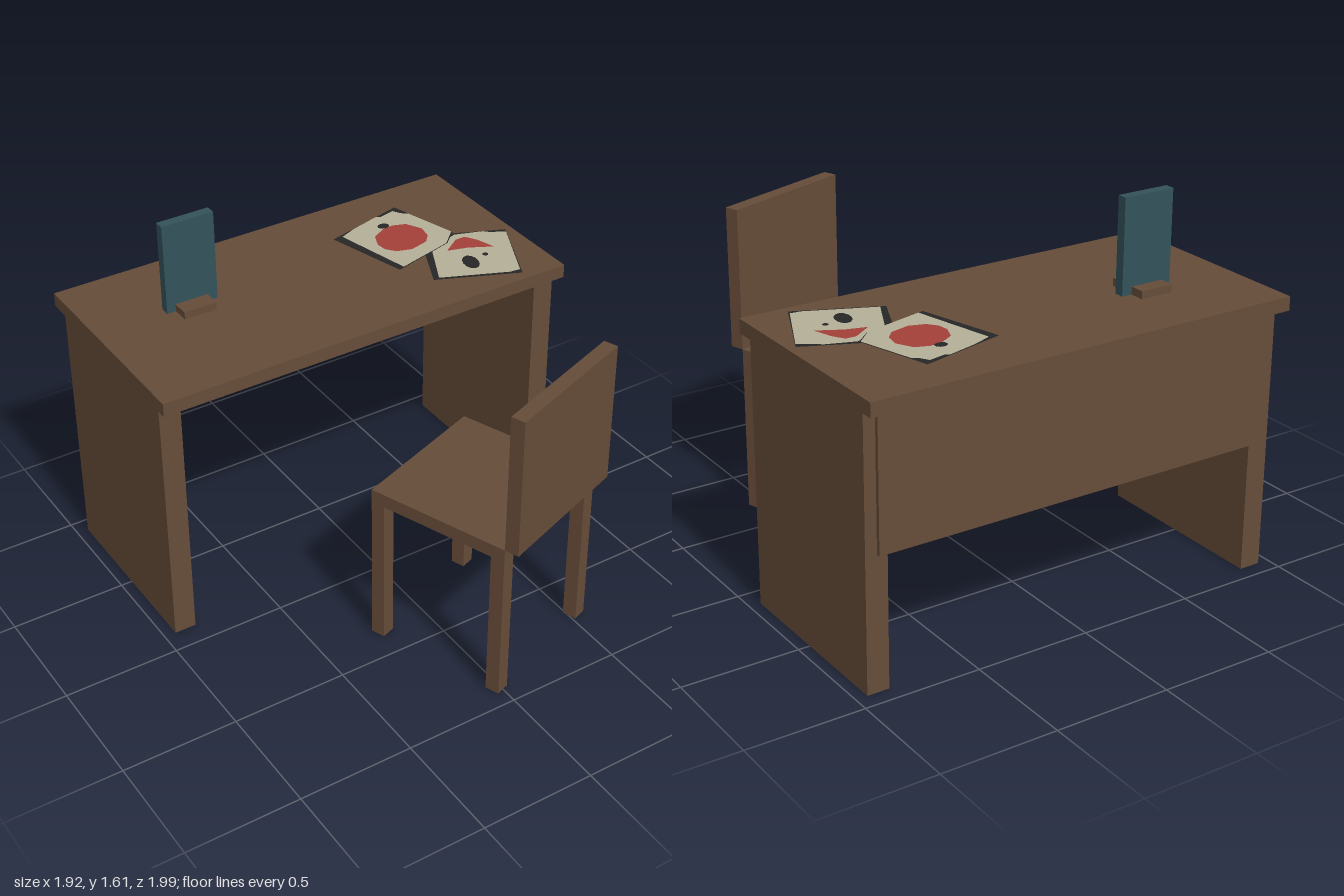
import * as THREE from 'three';

const material = (name, color) => new THREE.MeshStandardMaterial({ name, color });

export function createModel() {
  const wood = material('brown wood', 0x664c38);
  const teal = material('dark teal', 0x33525a);
  const cream = material('cream paper', 0xb5af98);
  const red = material('red ink', 0xa34039);
  const dark = material('dark ink', 0x262626);
  const model = new THREE.Group();
  model.name = 'deskAndChair';

  const group = (name) => {
    const g = new THREE.Group();
    g.name = name;
    model.add(g);
    return g;
  };
  // Box given by its lower and upper limits on each axis
  const box = (parent, name, mat, [x0, x1], [y0, y1], [z0, z1]) => {
    const mesh = new THREE.Mesh(new THREE.BoxGeometry(x1 - x0, y1 - y0, z1 - z0), mat);
    mesh.position.set((x0 + x1) / 2, (y0 + y1) / 2, (z0 + z1) / 2);
    mesh.name = name;
    parent.add(mesh);
  };
  // Flat horizontal patch outlined by [x, z] points
  const patch = (parent, name, mat, y, points) => {
    const shape = new THREE.Shape(points.map(([x, z]) => new THREE.Vector2(x, -z)));
    const mesh = new THREE.Mesh(new THREE.ShapeGeometry(shape).rotateX(-Math.PI / 2), mat);
    mesh.position.y = y;
    mesh.name = name;
    parent.add(mesh);
  };
  const oval = (x, z, rx, rz, turn = 0) => Array.from({ length: 12 }, (_, i) => {
    const a = (i / 12) * Math.PI * 2, u = Math.cos(a) * rx, v = Math.sin(a) * rz;
    return [x + u * Math.cos(turn) - v * Math.sin(turn), z + u * Math.sin(turn) + v * Math.cos(turn)];
  });

  // Desk: top, two side panels and a back panel
  const desk = group('desk');
  box(desk, 'deskTop', wood, [-0.96, 0.96], [1.145, 1.205], [-1, -0.035]);
  box(desk, 'rightSidePanel', wood, [-0.95, -0.855], [0, 1.145], [-0.93, -0.1]);
  box(desk, 'leftSidePanel', wood, [0.855, 0.95], [0, 1.145], [-0.93, -0.1]);
  box(desk, 'backPanel', wood, [-0.9, 0.9], [0.57, 1.145], [-0.947, -0.93]);

  // Upright panel on a small foot
  const stand = group('uprightPanel');
  box(stand, 'panel', teal, [-0.64, -0.405], [1.205, 1.61], [-0.645, -0.602]);
  box(stand, 'foot', wood, [-0.6, -0.452], [1.205, 1.238], [-0.71, -0.525]);

  // Chair, turned with its back away from the desk
  const chair = group('chair');
  const h = 0.32, t = 0.0625;
  chair.position.set(0.16, 0, 0.525);
  chair.rotation.y = THREE.MathUtils.degToRad(20);
  box(chair, 'seat', wood, [-h, h], [0.68, 0.74], [-h, h]);
  box(chair, 'backrest', wood, [-h, h], [0.74, 1.365], [h, h + t]);
  for (const x of [-h, h - t]) for (const z of [-h, h - t]) {
    box(chair, 'chairLeg', wood, [x, x + t], [0, 0.68], [z, z + t]);
  }

  // Lower drawing
  const lower = group('lowerDrawing');
  patch(lower, 'backing', dark, 1.207,
    [[0.577, -0.57], [0.926, -0.415], [0.772, -0.077], [0.423, -0.23]]);
  patch(lower, 'sheet', cream, 1.209, [[0.45, -0.23], [0.556, -0.442], [0.709, -0.495],
    [0.831, -0.452], [0.852, -0.431], [0.915, -0.394], [0.778, -0.103], [0.73, -0.108]]);
  patch(lower, 'redWedge', red, 1.211, [[0.603, -0.394], [0.688, -0.452], [0.735, -0.452],
    [0.767, -0.4], [0.794, -0.315], [0.693, -0.368]]);
  patch(lower, 'darkBlob', dark, 1.211, oval(0.635, -0.262, 0.035, 0.055, 0.25));
  patch(lower, 'darkDot', dark, 1.211, oval(0.725, -0.283, 0.013, 0.013));

  // Upper drawing, overlapping the lower one
  const upper = group('upperDrawing');
  patch(upper, 'backing', dark, 1.213,
    [[0.243, -0.738], [0.62, -0.833], [0.712, -0.51], [0.64, -0.445], [0.344, -0.368]]);
  patch(upper, 'sheet', cream, 1.215, [[0.286, -0.733], [0.365, -0.765], [0.503, -0.802],
    [0.519, -0.791], [0.593, -0.807], [0.614, -0.77], [0.64, -0.75], [0.709, -0.516],
    [0.635, -0.445], [0.37, -0.378]]);
  patch(upper, 'redBlob', red, 1.217, [[0.376, -0.59], [0.402, -0.653], [0.466, -0.69],
    [0.519, -0.696], [0.577, -0.675], [0.614, -0.606], [0.603, -0.542], [0.566, -0.5],
    [0.481, -0.479], [0.413, -0.5], [0.381, -0.542]]);
  patch(upper, 'darkSpot', dark, 1.219, oval(0.482, -0.71, 0.027, 0.022));

  return model;
}
